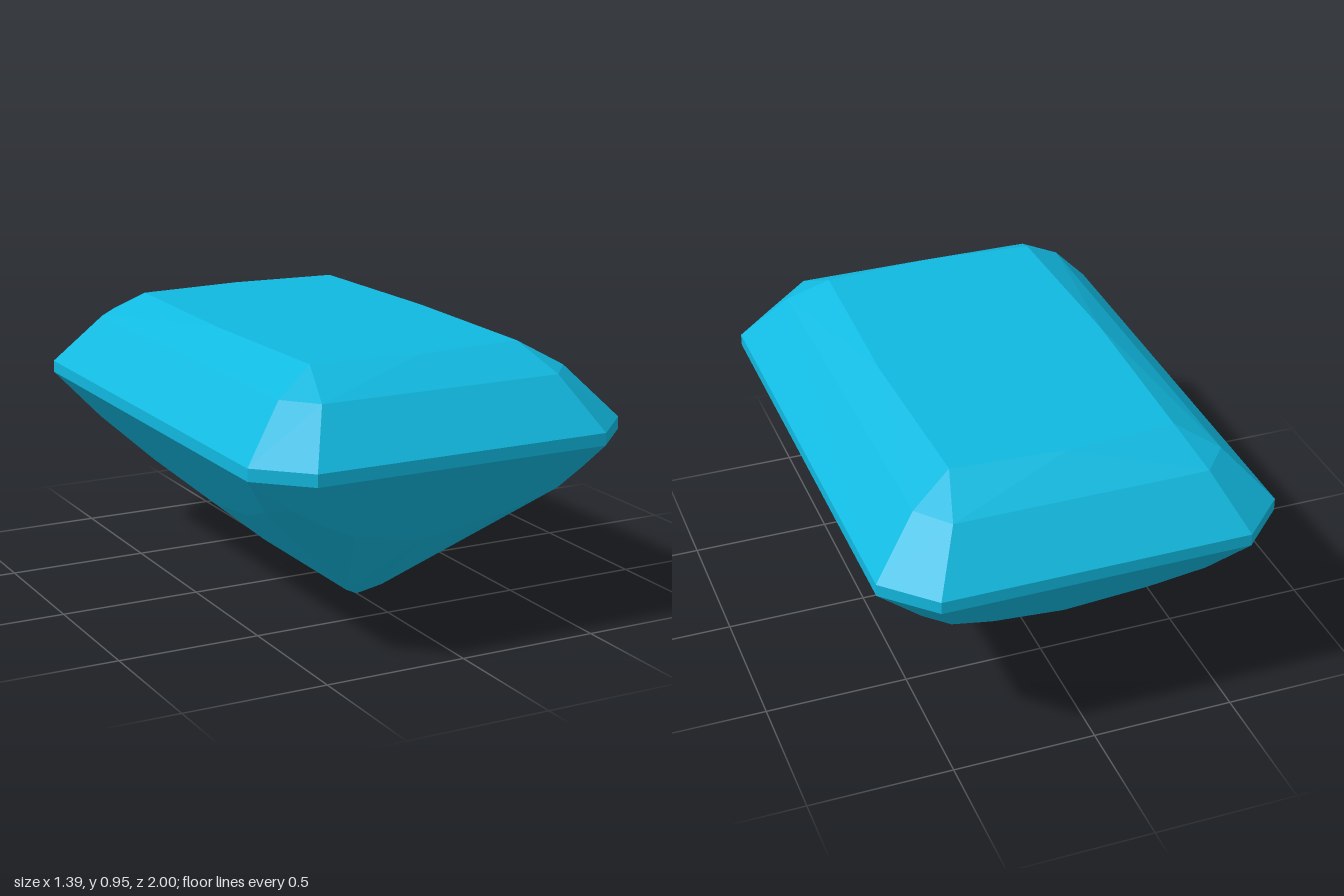
import * as THREE from 'three';
import { ConvexGeometry } from 'three/addons/geometries/ConvexGeometry.js';

// Mirrors one quarter of a facet ring across x = 0 and z = 0
function mirrorQuarter(corners) {
  const unique = new Map();
  for (const [x, y, z] of corners)
    for (const sx of [1, -1])
      for (const sz of [1, -1]) {
        const p = new THREE.Vector3(x * sx || 0, y, z * sz || 0);
        unique.set(p.toArray().join(), p);
      }
  return [...unique.values()];
}

export function createModel() {
  const group = new THREE.Group();
  group.name = 'gemstone';

  // Crown: flat table with a slight bow on each edge, then the bevel step
  const table = [[0, 0.955, 0.7], [0.39, 0.955, 0.67], [0.41, 0.955, 0]];
  const crownStep = [[0.44, 0.87, 0.85], [0.535, 0.87, 0.737]];

  // Girdle: thin vertical band with cut corners
  const girdle = [0.65, 0.693].flatMap((y) => [[0.533, y, 1], [0.695, y, 0.84]]);

  // Pavilion: the lower ends of the upper facets lie on sloping planes
  const endZ = (y) => 1 - (0.65 - y) * 0.29 / 0.33;
  const sideX = (y) => 0.695 - (0.65 - y) * 0.27 / 0.33;
  const endFacet = [[0, 0.32], [0.28, 0.39], [0.45, 0.48]].map(([x, y]) => [x, y, endZ(y)]);
  const sideFacet = [[0, 0.32], [0.4, 0.39], [0.7, 0.495]].map(([z, y]) => [sideX(y), y, z]);
  const cornerTip = [[0.55, 0.54, 0.85]];

  // Keel: straight bottom edge with a small notch facet at each end
  const keel = [[0, 0, 0.275], [0.07, 0.04, 0.33]];

  const points = mirrorQuarter([
    ...table, ...crownStep, ...girdle, ...endFacet, ...sideFacet, ...cornerTip, ...keel,
  ]);
  const gem = new THREE.Mesh(
    new ConvexGeometry(points),
    new THREE.MeshStandardMaterial({ color: 0x11b9e0, flatShading: true }),
  );
  gem.name = 'facetedGem';
  group.add(gem);
  return group;
}
